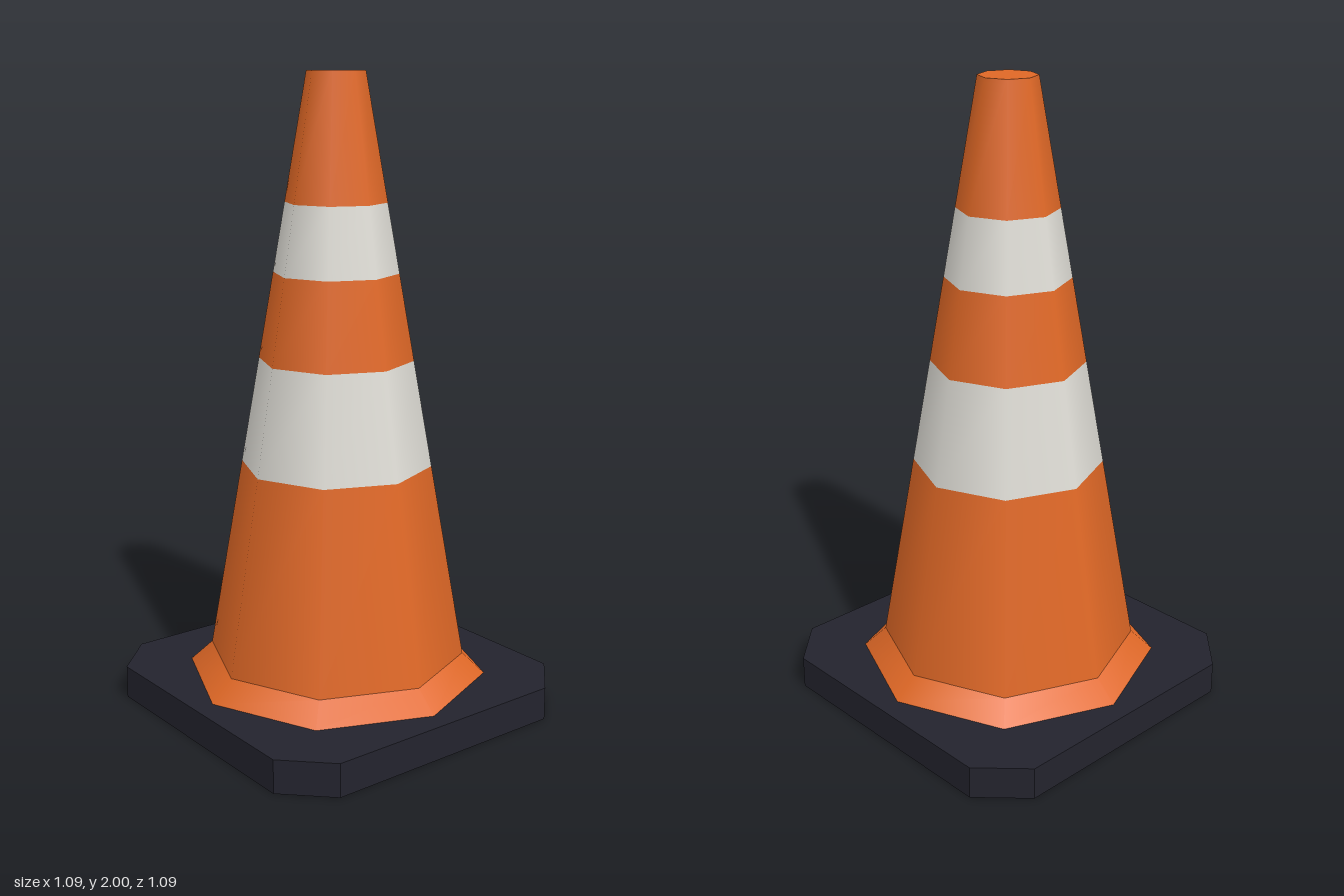
import * as THREE from 'three';

export function createModel() {
  const model = new THREE.Group();
  model.name = 'trafficCone';

  const material = (name, color) => {
    const m = new THREE.MeshStandardMaterial({ color });
    m.name = name;
    return m;
  };
  const orange = material('orange plastic', 0xe06826);
  const white = material('white band', 0xdfddd6);
  const dark = material('dark rubber', 0x23232d);

  const add = (name, geometry, mat) => {
    const mesh = new THREE.Mesh(geometry, mat);
    mesh.name = name;
    model.add(mesh);
  };

  // Square base plate with cut corners
  const half = 0.545, cut = 0.41, baseTop = 0.105;
  const outline = new THREE.Shape([
    [half, -cut], [half, cut], [cut, half], [-cut, half],
    [-half, cut], [-half, -cut], [-cut, -half], [cut, -half],
  ].map(([x, y]) => new THREE.Vector2(x, y)));
  const base = new THREE.ExtrudeGeometry(outline, { depth: baseTop, bevelEnabled: false });
  base.rotateX(-Math.PI / 2);
  add('base', base, dark);

  // Eight-sided, smooth-shaded ring between two heights
  const ring = (y0, r0, y1, r1) =>
    new THREE.CylinderGeometry(r1, r0, y1 - y0, 8, 1, true).translate(0, (y0 + y1) / 2, 0);

  // Flared foot
  const bottom = 0.17, top = 2, rBottom = 0.41, rTop = 0.09;
  add('foot', ring(baseTop, 0.48, bottom, rBottom), orange);

  // Tapered body, alternating orange and white
  const radiusAt = (y) => THREE.MathUtils.mapLinear(y, bottom, top, rBottom, rTop);
  const levels = [bottom, 0.79, 1.125, 1.395, 1.61, top];
  const names = ['lowerBody', 'lowerBand', 'middleBody', 'upperBand', 'upperBody'];
  names.forEach((name, i) => {
    const [y0, y1] = [levels[i], levels[i + 1]];
    add(name, ring(y0, radiusAt(y0), y1, radiusAt(y1)), i % 2 ? white : orange);
  });

  // Flat closed tip
  const tip = new THREE.CircleGeometry(rTop, 8).rotateX(-Math.PI / 2).translate(0, top, 0);
  add('tip', tip, orange);

  return model;
}
